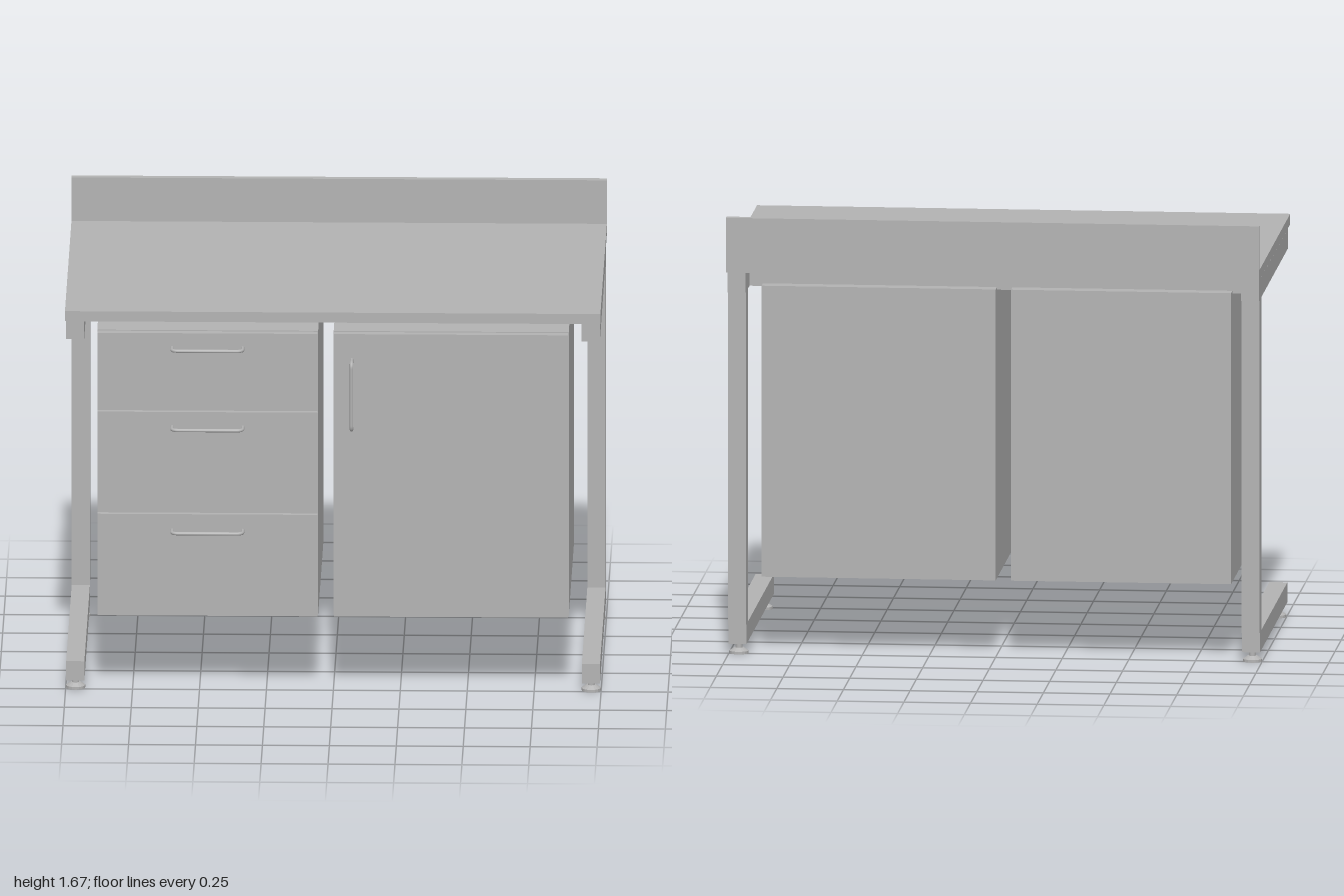
import * as THREE from 'three';

const grey = new THREE.MeshStandardMaterial({ color: 0xb2b2b2 });
grey.name = 'grey';

export function createModel() {
  const root = new THREE.Group();
  root.name = 'workbench';

  function add(name, geometry, parent = root) {
    const mesh = new THREE.Mesh(geometry, grey);
    mesh.name = name;
    parent.add(mesh);
    return mesh;
  }

  // Box given by its limits on each axis
  function box(name, [x0, x1], [y0, y1], [z0, z1], parent = root) {
    const mesh = add(name, new THREE.BoxGeometry(x1 - x0, y1 - y0, z1 - z0), parent);
    mesh.position.set((x0 + x1) / 2, (y0 + y1) / 2, (z0 + z1) / 2);
    return mesh;
  }

  // Bow handle: a tube with rounded corners, centred on x, standing out to +z
  function handle(name, x, y, vertical) {
    const h = 0.132, d = 0.05, r = 0.022;
    const v = (a, b) => new THREE.Vector3(a, 0, b);
    const path = new THREE.CurvePath();
    path.add(new THREE.LineCurve3(v(-h, 0), v(-h, d - r)));
    path.add(new THREE.QuadraticBezierCurve3(v(-h, d - r), v(-h, d), v(-h + r, d)));
    path.add(new THREE.LineCurve3(v(-h + r, d), v(h - r, d)));
    path.add(new THREE.QuadraticBezierCurve3(v(h - r, d), v(h, d), v(h, d - r)));
    path.add(new THREE.LineCurve3(v(h, d - r), v(h, 0)));
    const mesh = add(name, new THREE.TubeGeometry(path, 60, 0.0065, 10, false));
    mesh.position.set(x, y, 0.519);
    if (vertical) mesh.rotation.z = Math.PI / 2;
  }

  // Worktop and upstand
  box('worktop', [-1, 1], [1.464, 1.503], [-0.597, 0.625]);
  box('backsplash', [-1, 1], [1.464, 1.672], [-0.625, -0.597]);

  // Cross rails carrying the cabinets
  box('frontRail', [-0.93, 0.93], [1.382, 1.458], [0.25, 0.33]);
  box('rearRail', [-0.93, 0.93], [1.382, 1.458], [-0.43, -0.35]);

  // C-shaped side frames with levelling feet
  const footProfile = [[0, 0], [0.036, 0], [0.036, 0.01], [0.018, 0.022], [0.013, 0.022], [0.013, 0.048]]
    .map(([r, y]) => new THREE.Vector2(r, y));
  for (const side of [-1, 1]) {
    const frame = new THREE.Group();
    frame.name = side > 0 ? 'leftFrame' : 'rightFrame';
    frame.position.x = side * 0.963;
    root.add(frame);
    const w = [-0.034, 0.034];
    box('topArm', w, [1.382, 1.458], [-0.588, 0.577], frame);
    box('leg', w, [0.12, 1.382], [-0.574, -0.49], frame);
    box('baseArm', w, [0.045, 0.12], [-0.557, 0.544], frame);
    for (const z of [0.477, -0.49]) {
      const foot = add('foot', new THREE.LatheGeometry(footProfile, 16).toNonIndexed(), frame);
      foot.geometry.computeVertexNormals();
      foot.position.z = z;
    }
  }

  // Cabinet bodies
  box('drawerCabinet', [-0.882, -0.057], [0.289, 1.392], [-0.483, 0.486]);
  box('doorCabinet', [0.001, 0.879], [0.289, 1.392], [-0.483, 0.486]);

  // Drawer fronts with handles
  for (const [y0, y1, grip] of [[0.292, 0.686, 0.625], [0.692, 1.083, 1.026], [1.089, 1.389, 1.334]]) {
    box('drawerFront', [-0.88, -0.059], [y0, y1], [0.488, 0.518]);
    handle('drawerHandle', -0.47, grip, false);
  }

  // Door with upright handle
  box('door', [0.003, 0.877], [0.292, 1.389], [0.488, 0.518]);
  handle('doorHandle', 0.069, 1.158, true);

  return root;
}
